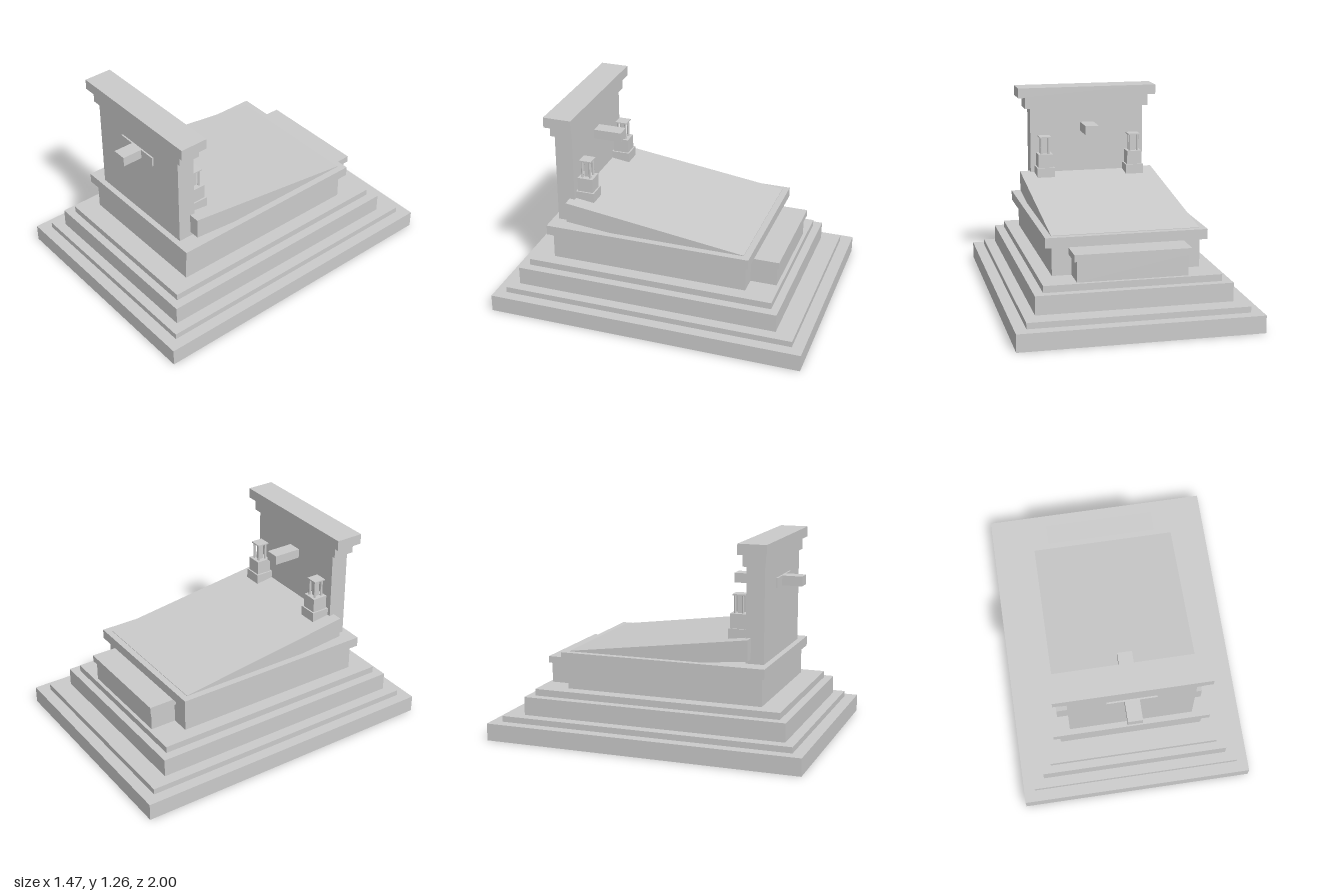
import * as THREE from 'three';

const material = new THREE.MeshStandardMaterial({ color: 0xcccccc, flatShading: true });

// Box given by its limits on each axis
function block(name, [x0, x1], [y0, y1], [z0, z1]) {
  const mesh = new THREE.Mesh(new THREE.BoxGeometry(x1 - x0, y1 - y0, z1 - z0), material);
  mesh.position.set((x0 + x1) / 2, (y0 + y1) / 2, (z0 + z1) / 2);
  mesh.name = name;
  return mesh;
}

const centred = (name, halfWidth, y, z) => block(name, [-halfWidth, halfWidth], y, z);

// Sloping cover slab, drawn as a side profile and extruded across the width
function coverSlab() {
  const halfWidth = 0.453;
  const profile = new THREE.Shape([
    [0.588, 0.697], [0.588, 0.568], [0.3, 0.54], [0.25, 0.535], [-0.56, 0.535], [-0.56, 0.543],
  ].map(([z, y]) => new THREE.Vector2(-z, y)));
  const geometry = new THREE.ExtrudeGeometry(profile, { depth: 2 * halfWidth, bevelEnabled: false });
  geometry.translate(0, 0, -halfWidth).rotateY(Math.PI / 2);
  const mesh = new THREE.Mesh(geometry, material);
  mesh.name = 'coverSlab';
  return mesh;
}

// Small lantern: stepped pedestal, four posts, core and a thin roof
function lantern(name) {
  const group = new THREE.Group();
  group.name = name;
  const square = (part, half, y) => group.add(centred(part, half, y, [-half, half]));
  square('lanternFoot', 0.059, [0.65, 0.74]);
  square('lanternPedestal', 0.049, [0.74, 0.83]);
  square('lanternCore', 0.015, [0.83, 0.94]);
  for (const x of [-1, 1]) {
    for (const z of [-1, 1]) {
      const post = new THREE.Mesh(new THREE.CylinderGeometry(0.008, 0.008, 0.11, 8), material);
      post.position.set(x * 0.025, 0.885, z * 0.025);
      post.name = 'lanternPost';
      group.add(post);
    }
  }
  square('lanternRoof', 0.039, [0.938, 0.946]);
  return group;
}

export function createModel() {
  const model = new THREE.Group();
  model.name = 'tomb';

  // Stepped base and chest
  model.add(
    centred('plinth', 0.735, [0, 0.108], [-1, 1]),
    centred('plinthStep', 0.665, [0.108, 0.145], [-0.928, 0.928]),
    centred('middleTier', 0.595, [0.145, 0.26], [-0.81, 0.865]),
    centred('middleTierStep', 0.538, [0.26, 0.302], [-0.762, 0.815]),
    centred('chest', 0.453, [0.302, 0.478], [-0.575, 0.68]),
    centred('chestCap', 0.495, [0.478, 0.54], [-0.6, 0.705]),
    centred('footBlock', 0.335, [0.302, 0.43], [-0.74, -0.57]),
    centred('footBlockCap', 0.353, [0.43, 0.472], [-0.755, -0.57]),
  );

  model.add(coverSlab());

  // Headstone with its cornice, plaque and through bar
  model.add(
    centred('headstone', 0.385, [0.54, 1.125], [0.556, 0.669]),
    centred('lowerCornice', 0.42, [1.125, 1.198], [0.542, 0.682]),
    centred('upperCornice', 0.468, [1.2, 1.265], [0.524, 0.701]),
    centred('plaque', 0.152, [0.963, 1.023], [0.66, 0.679]),
    centred('throughBar', 0.045, [0.963, 1.023], [0.375, 0.805]),
  );

  // Pair of lanterns on the slab
  for (const [side, x] of [['left', 0.3], ['right', -0.305]]) {
    const lamp = lantern(side + 'Lantern');
    lamp.position.set(x, 0, 0.497);
    model.add(lamp);
  }
  return model;
}
